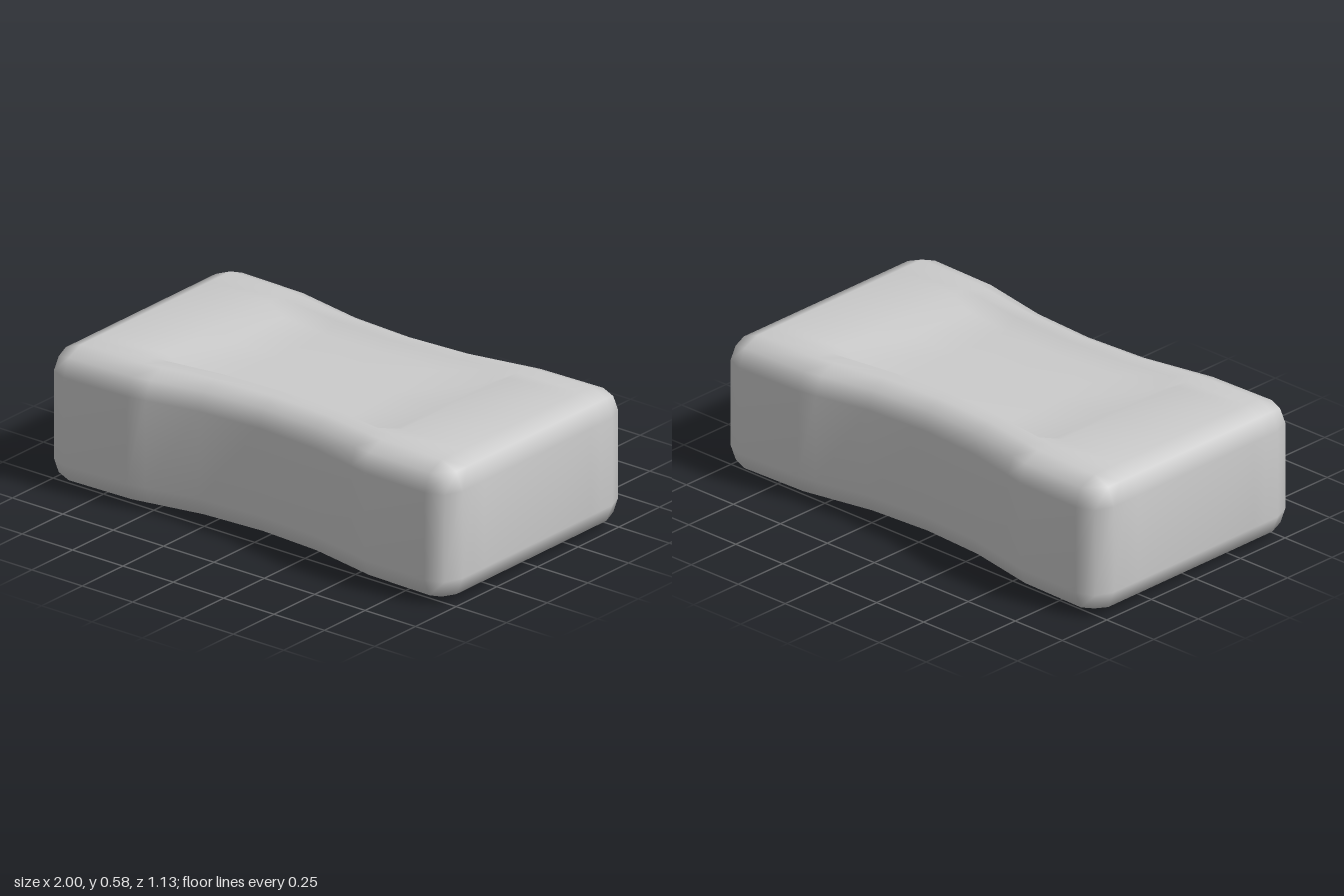
import * as THREE from 'three';
import { mergeVertices } from 'three/addons/utils/BufferGeometryUtils.js';

const { clamp, lerp } = THREE.MathUtils;

// Grid lines of the bar along each axis, measured from its middle
const mirror = (half) => [...half.map((v) => -v), 0, ...half.slice().reverse()];
const R = 0.105;
const HALF = { x: 1, y: 0.288, z: 0.565 };
const XS = mirror([1, 1 - R, 0.59, 0.51, 0.28]);
const YS = [-HALF.y, R - HALF.y, HALF.y - R, HALF.y];
const ZS = mirror([HALF.z, HALF.z - R, 0.39, 0.325]);
const DISH_DEPTH = 0.04;

// Waist: width factor along the length
const WAIST = [[0, 0.84], [0.28, 0.872], [0.59, 0.985], [1 - R, 1], [1, 1]];
function waist(x) {
  const a = Math.min(Math.abs(x), 1);
  const i = Math.max(1, WAIST.findIndex(([k]) => a <= k));
  const [x0, w0] = WAIST[i - 1], [x1, w1] = WAIST[i];
  return lerp(w0, w1, (a - x0) / (x1 - x0));
}

function barGeometry() {
  const nx = XS.length - 1, ny = YS.length - 1, nz = ZS.length - 1;
  let geo = new THREE.BoxGeometry(1, 1, 1, nx, ny, nz);
  geo.deleteAttribute('normal');
  geo.deleteAttribute('uv');
  geo = mergeVertices(geo);
  const pos = geo.attributes.position;
  const p = new THREE.Vector3(), core = new THREE.Vector3();
  for (let i = 0; i < pos.count; i++) {
    p.fromBufferAttribute(pos, i).addScalar(0.5);
    p.set(XS[Math.round(p.x * nx)], YS[Math.round(p.y * ny)], ZS[Math.round(p.z * nz)]);
    const inDish = Math.abs(p.x) < 0.52 && Math.abs(p.z) < 0.33;

    // Round the edges and corners
    for (const k of ['x', 'y', 'z']) core[k] = clamp(p[k], R - HALF[k], HALF[k] - R);
    p.sub(core).setLength(R).add(core);

    // Sink the shallow dish in the top and underside
    if (inDish) p.y -= Math.sign(p.y) * DISH_DEPTH;

    // Pinch the waist
    p.z *= waist(p.x);
    pos.setXYZ(i, p.x, p.y + HALF.y, p.z);
  }
  geo.computeVertexNormals();
  return geo;
}

export function createModel() {
  const group = new THREE.Group();
  group.name = 'soapBar';
  const bar = new THREE.Mesh(barGeometry(), new THREE.MeshStandardMaterial({ color: 0xcccccc }));
  bar.name = 'bar';
  group.add(bar);
  return group;
}
